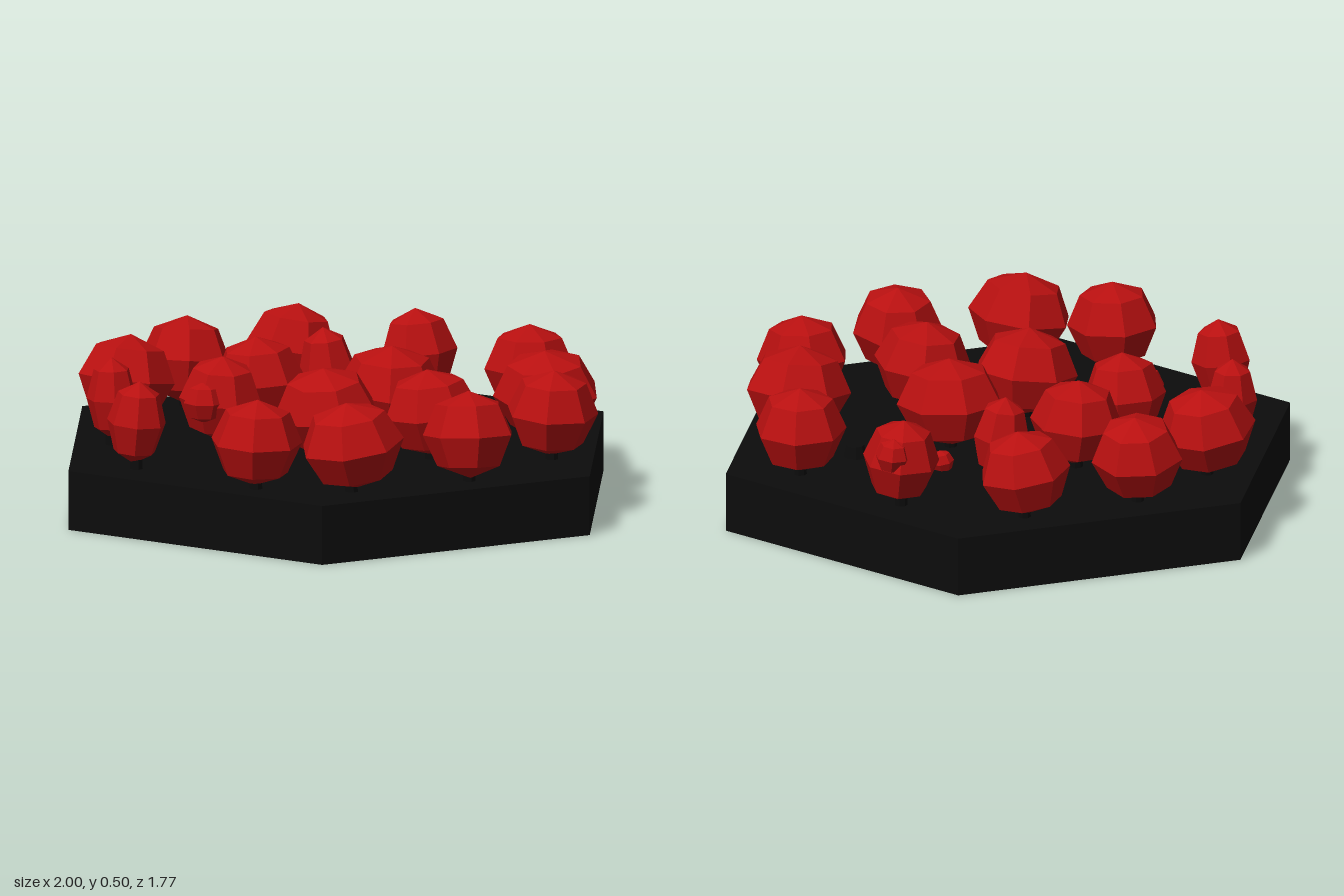
import * as THREE from 'three';

const red = new THREE.MeshStandardMaterial({ name: 'foliageRed', color: 0xb81010, flatShading: true });
const black = new THREE.MeshStandardMaterial({ name: 'groundBlack', color: 0x0c0c0c, flatShading: true, side: THREE.DoubleSide });

// Full trees: x, z, crown radius
const TREES = [
  [-0.14, -0.75, 0.13], [0.31, -0.73, 0.155], [-0.53, -0.58, 0.155], [0.57, -0.43, 0.18],
  [-0.25, -0.36, 0.095], [-0.72, -0.22, 0.155], [0.1, -0.2, 0.18], [0.75, -0.18, 0.155],
  [-0.35, -0.09, 0.155], [0.41, 0.03, 0.165], [-0.73, 0.13, 0.165], [-0.3, 0.22, 0.14],
  [0.1, 0.19, 0.175], [0.7, 0.25, 0.155], [-0.6, 0.42, 0.085], [-0.33, 0.69, 0.1],
  [0.17, 0.735, 0.155], [0.46, 0.6, 0.175],
];
// Small leaf clumps: x, y, z, radius
const CLUMPS = [
  [-0.17, 0.4, -0.83, 0.06], [-0.3, 0.36, 0.32, 0.07],
  [-0.02, 0.225, -0.39, 0.04], [0, 0.225, 0.43, 0.036],
];

function mesh(name, geometry, material, x = 0, y = 0, z = 0) {
  const m = new THREE.Mesh(geometry, material);
  m.name = name;
  m.position.set(x, y, z);
  return m;
}

// Faceted ball, turned and slightly tilted so that neighbours differ
function leaves(name, r, ry, i) {
  const g = new THREE.SphereGeometry(1, 7, 4);
  g.scale(r, ry, r);
  const m = mesh(name, g, red);
  m.rotation.set(0.1 * Math.sin(i * 2.3), i * 1.7, 0.1 * Math.cos(i * 3.1));
  return m;
}

export function createModel() {
  const model = new THREE.Group();
  model.name = 'forestTile';

  // Hexagonal tile, open underneath
  const base = new THREE.Group();
  base.name = 'hexBase';
  base.position.z = -0.022;
  const top = new THREE.CircleGeometry(1, 6);
  top.rotateX(-Math.PI / 2);
  base.add(
    mesh('baseTop', top, black, 0, 0.2, 0),
    mesh('baseWalls', new THREE.CylinderGeometry(1, 1, 0.2, 6, 1, true, Math.PI / 2), black, 0, 0.1, 0),
  );
  model.add(base);

  // Trees: short trunk with a squashed crown
  TREES.forEach(([x, z, r], i) => {
    const tree = new THREE.Group();
    tree.name = 'tree';
    tree.position.set(x, 0, z);
    const crown = leaves('crown', r, 0.13 + r * 0.1, i);
    crown.position.y = 0.357;
    tree.add(mesh('trunk', new THREE.CylinderGeometry(0.018, 0.022, 0.12, 7), black, 0, 0.255, 0), crown);
    model.add(tree);
  });

  // Loose leaf clumps
  CLUMPS.forEach(([x, y, z, r], i) => {
    const c = leaves('leafClump', r, r, i);
    c.position.set(x, y, z);
    model.add(c);
  });

  // Bare stump
  model.add(mesh('stump', new THREE.CylinderGeometry(0.03, 0.042, 0.05, 8), black, 0.28, 0.215, -0.48));
  return model;
}
